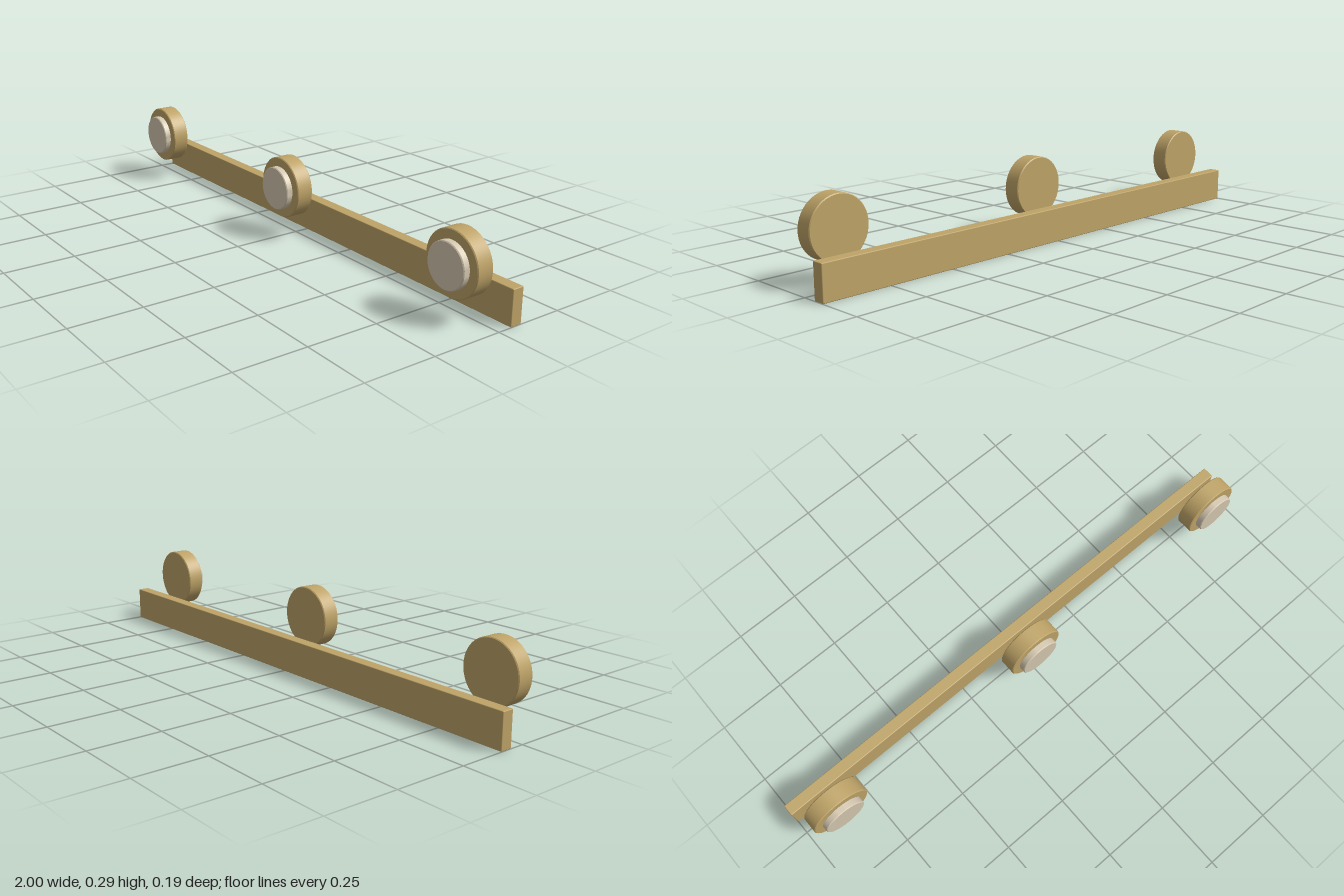
import * as THREE from 'three';
import { toCreasedNormals } from 'three/addons/utils/BufferGeometryUtils.js';
import { RoundedBoxGeometry } from 'three/addons/geometries/RoundedBoxGeometry.js';

// Solid disc facing +z, with small bevels on both rims
function discGeometry(radius, zBack, zFront, bevel) {
  const profile = [
    [0, zBack], [radius - bevel, zBack], [radius, zBack + bevel],
    [radius, zFront - bevel], [radius - bevel, zFront], [0, zFront],
  ].map(([r, z]) => new THREE.Vector2(r, z));
  const geometry = new THREE.LatheGeometry(profile, 48);
  geometry.rotateX(Math.PI / 2);
  return toCreasedNormals(geometry, Math.PI / 6);
}

export function createModel() {
  const brass = new THREE.MeshStandardMaterial({ color: 0xbfa468 });
  brass.name = 'brass';
  const ivory = new THREE.MeshStandardMaterial({ color: 0xd6c9b1 });
  ivory.name = 'ivory';

  const model = new THREE.Group();
  model.name = 'railWithKnobs';

  // Long rail behind the knobs
  const rail = new THREE.Mesh(new RoundedBoxGeometry(2, 0.122, 0.043, 2, 0.003), brass);
  rail.name = 'rail';
  rail.position.set(0, 0.061, -0.0705);
  model.add(rail);

  // Three round knobs, each with a smaller pale face disc
  const baseGeometry = discGeometry(0.1085, 0.007, 0.069, 0.003);
  const faceGeometry = discGeometry(0.0765, 0.067, 0.093, 0.003);
  for (const [name, x] of [['right', -0.862], ['middle', 0], ['left', 0.862]]) {
    const knob = new THREE.Group();
    knob.name = name + 'Knob';
    const base = new THREE.Mesh(baseGeometry, brass);
    base.name = 'knobBase';
    const face = new THREE.Mesh(faceGeometry, ivory);
    face.name = 'knobFace';
    knob.add(base, face);
    knob.position.set(x, 0.1825, 0);
    model.add(knob);
  }
  return model;
}
